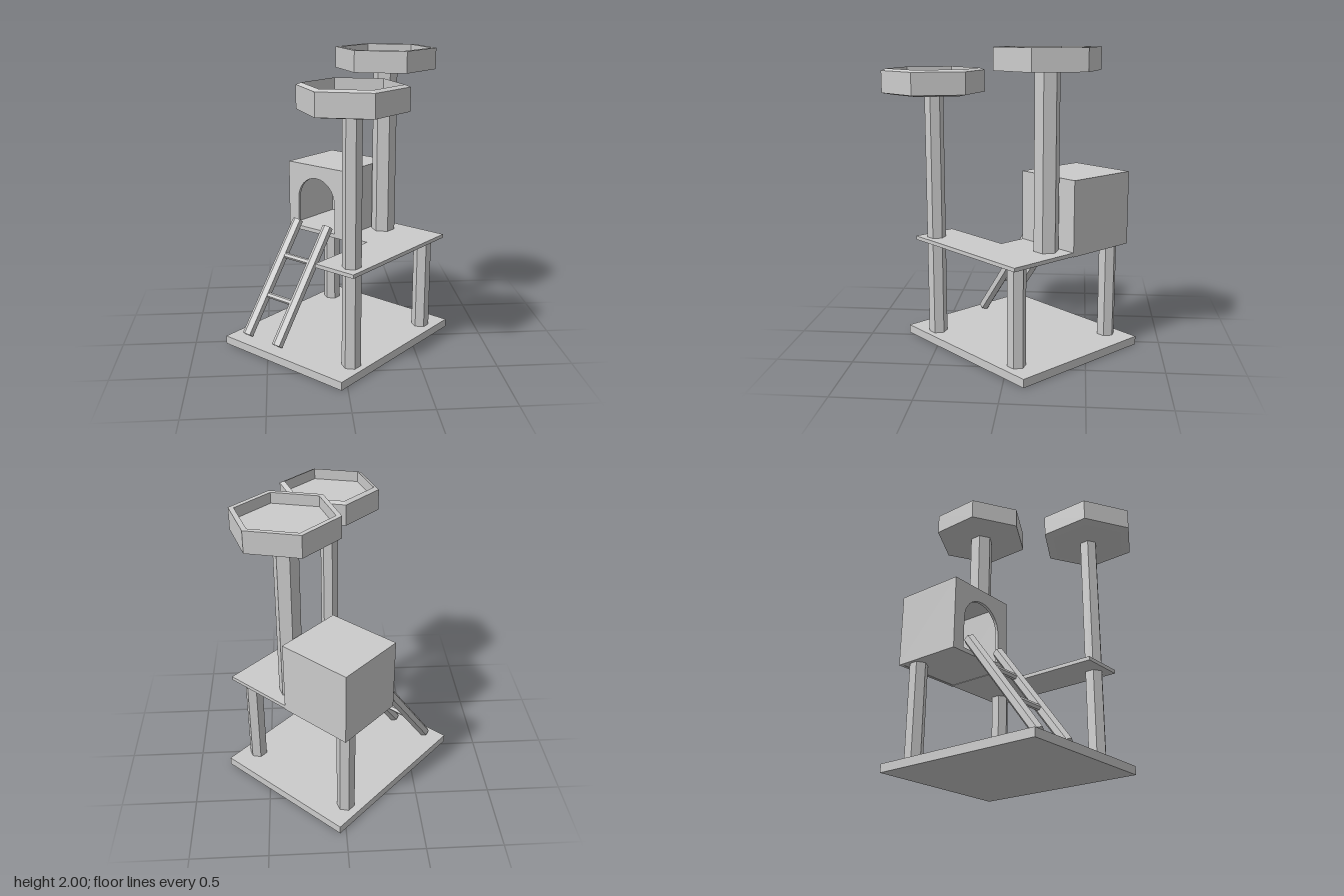
import * as THREE from 'three';

const material = new THREE.MeshStandardMaterial({ color: 0xcccccc, flatShading: true });

export function createModel() {
  const model = new THREE.Group();
  model.name = 'catTree';
  // The whole tree stands turned on its base
  const tree = new THREE.Group();
  tree.name = 'turnedTree';
  tree.rotation.y = -0.761;
  tree.position.z = -0.05;
  model.add(tree);

  const add = (name, geometry, x = 0, y = 0, z = 0, parent = tree) => {
    const mesh = new THREE.Mesh(geometry, material);
    mesh.name = name;
    mesh.position.set(x, y, z);
    parent.add(mesh);
    return mesh;
  };

  // Box given by its minimum and maximum corners
  const block = (name, [x0, y0, z0], [x1, y1, z1], parent) =>
    add(name, new THREE.BoxGeometry(x1 - x0, y1 - y0, z1 - z0),
      (x0 + x1) / 2, (y0 + y1) / 2, (z0 + z1) / 2, parent);

  // Upright six-sided post
  const post = (name, x, z, y0, y1, r) =>
    add(name, new THREE.CylinderGeometry(r, r, y1 - y0, 6), x, (y0 + y1) / 2, z);

  // Six-sided bar between two points
  const bar = (name, a, b, r, parent) => {
    const from = new THREE.Vector3(...a), to = new THREE.Vector3(...b);
    const dir = to.clone().sub(from);
    const mesh = add(name, new THREE.CylinderGeometry(r, r, dir.length(), 6), 0, 0, 0, parent);
    mesh.position.copy(from).add(to).multiplyScalar(0.5);
    mesh.quaternion.setFromUnitVectors(new THREE.Vector3(0, 1, 0), dir.normalize());
    return mesh;
  };

  // Hexagonal tray turned from a radius and height profile
  const tray = (name, x, z, profile) =>
    add(name, new THREE.LatheGeometry(profile.map(p => new THREE.Vector2(...p)), 6), x, 0, z);

  // Base
  block('base', [-0.515, 0, -0.6], [0.515, 0.056, 0.6]);

  // L-shaped platform, drawn in plan (shape y is -z)
  const plan = new THREE.Shape([
    [-0.48, 0.045], [0.21, 0.045], [0.21, -0.49], [0.515, -0.49], [0.515, 0.518], [-0.48, 0.518],
  ].map(p => new THREE.Vector2(...p)));
  const platform = new THREE.ExtrudeGeometry(plan, { depth: 0.025, bevelEnabled: false });
  platform.rotateX(-Math.PI / 2);
  add('platform', platform, 0, 0.703, 0);

  // Posts
  post('backRightPost', -0.41, -0.42, 0.05, 0.705, 0.06);
  post('backLeftPost', 0.41, -0.42, 0.05, 0.705, 0.06);
  post('frontTallPost', 0.42, 0.385, 0.05, 1.7, 0.062);
  post('backTallPost', 0.11, -0.364, 0.72, 1.87, 0.081);

  // Trays
  tray('lowerTray', 0.42, 0.385, [
    [0, 1.69], [0.27, 1.69], [0.338, 1.702], [0.338, 1.845], [0.303, 1.858], [0.303, 1.785], [0, 1.785],
  ]);
  tray('upperTray', 0.108, -0.364, [
    [0, 1.86], [0.338, 1.86], [0.338, 2], [0.303, 2], [0.303, 1.93], [0, 1.93],
  ]);

  // Hollow house with an arched door
  const house = new THREE.Group();
  house.name = 'house';
  tree.add(house);
  const L = -0.49, R = 0.02, B = -0.52, F = -0.04, bottom = 0.7, top = 1.19, t = 0.02;
  block('houseRightWall', [L, bottom, B], [L + t, top - t, F - t], house);
  block('houseLeftWall', [R - t, bottom, B], [R, top - t, F - t], house);
  block('houseBackWall', [L + t, bottom, B], [R - t, top - t, B + t], house);
  block('houseRoof', [L, top - t, B], [R, top, F - t], house);
  const front = new THREE.Shape([[L, bottom], [R, bottom], [R, top], [L, top]]
    .map(p => new THREE.Vector2(...p)));
  const doorX = (L + R) / 2, doorR = 0.165;
  const door = new THREE.Path();
  door.moveTo(doorX - doorR, 0.728);
  door.lineTo(doorX + doorR, 0.728);
  door.lineTo(doorX + doorR, 0.935);
  door.absarc(doorX, 0.935, doorR, 0, Math.PI, false);
  door.closePath();
  front.holes.push(door);
  add('houseFront', new THREE.ExtrudeGeometry(front, { depth: t, bevelEnabled: false, curveSegments: 8 }),
    0, 0, F - t, house);

  // Ladder
  const ladder = new THREE.Group();
  ladder.name = 'ladder';
  tree.add(ladder);
  const low = { y: 0.077, z: 0.522 }, high = { y: 0.78, z: -0.008 };
  for (const [name, x] of [['rightRail', -0.382], ['leftRail', -0.105]])
    bar(name, [x, low.y, low.z], [x, high.y, high.z], 0.038, ladder);
  for (const s of [0.347, 0.69]) {
    const y = THREE.MathUtils.lerp(low.y, high.y, s), z = THREE.MathUtils.lerp(low.z, high.z, s);
    bar('rung', [-0.382, y, z], [-0.105, y, z], 0.02, ladder);
  }

  return model;
}
